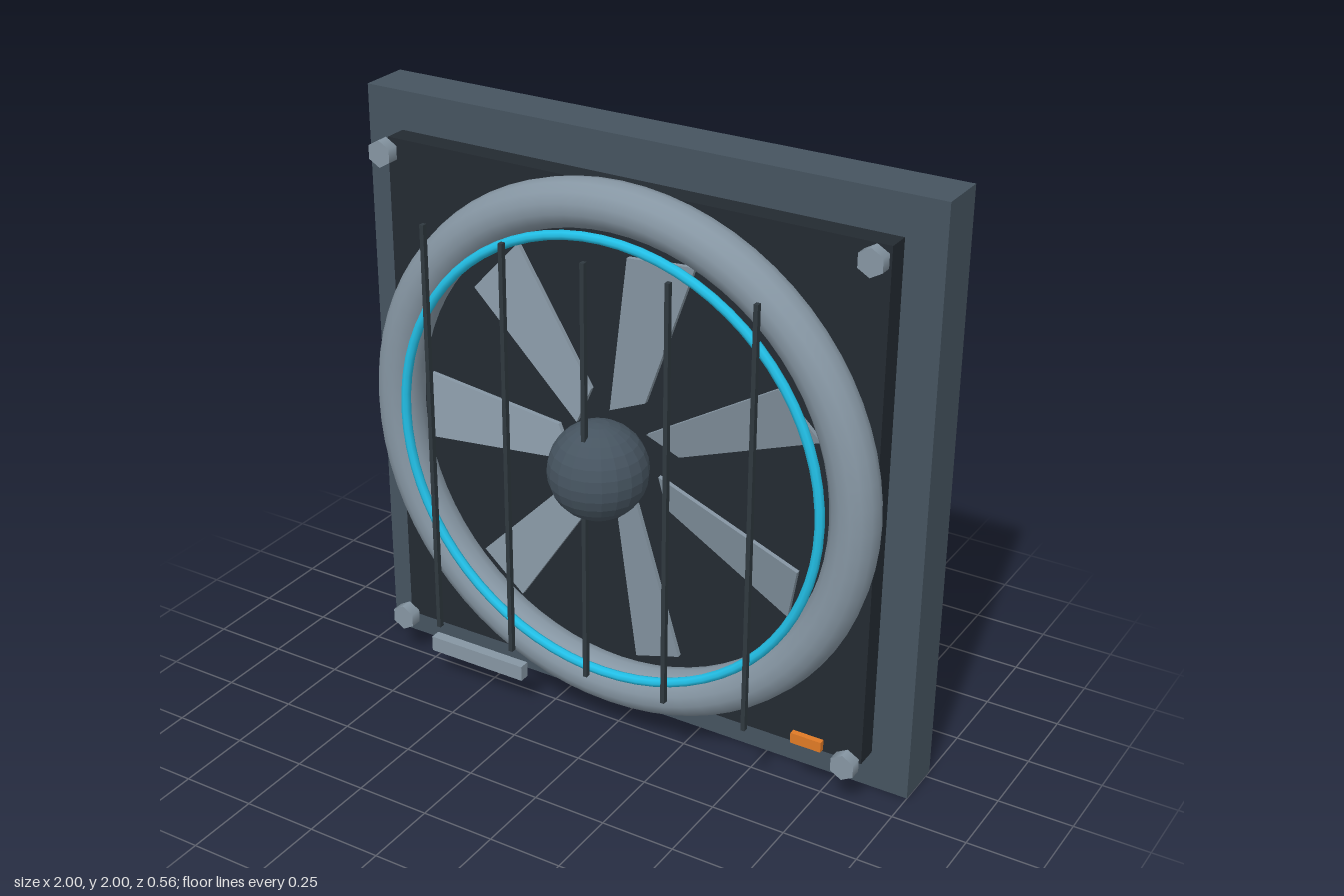
import * as THREE from 'three';

const mat = (color, flatShading = false) => new THREE.MeshStandardMaterial({ color, flatShading });

export function createModel() {
  const model = new THREE.Group();
  const frameMat = mat(0x465460), plateMat = mat(0x232a31), steel = mat(0x8696a3);
  const hubMat = mat(0x465460, true), barMat = mat(0x2f383f), cyan = mat(0x22bfe6), orange = mat(0xe07a26);

  const add = (name, geometry, material, x, y, z, parent = model) => {
    const mesh = new THREE.Mesh(geometry, material);
    mesh.name = name;
    mesh.position.set(x, y, z);
    parent.add(mesh);
    return mesh;
  };

  // Wall panel and the dark plate in front of it
  add('backPanel', new THREE.BoxGeometry(2, 2, 0.17), frameMat, 0, 1, -0.195);
  add('innerPlate', new THREE.BoxGeometry(1.74, 1.74, 0.08), plateMat, 0, 1, -0.073);

  // Housing ring and thin lit ring
  add('housingRing', new THREE.TorusGeometry(0.827, 0.078, 14, 72), steel, 0, 1, 0.015);
  add('lightRing', new THREE.TorusGeometry(0.75, 0.016, 8, 72), cyan, 0, 1, 0.097);

  // Fan: hub and seven pitched blades
  const fan = new THREE.Group();
  fan.name = 'fan';
  fan.position.set(0, 1, 0);
  model.add(fan);
  add('hub', new THREE.SphereGeometry(0.16, 20, 14), hubMat, 0, 0, 0.12, fan);

  const outline = new THREE.Shape([[0.22, -0.05], [0.72, -0.1], [0.68, 0.1], [0.155, 0.05]]
    .map(([r, t]) => new THREE.Vector2(r, t)));
  const bladeGeo = new THREE.ExtrudeGeometry(outline, { depth: 0.016, bevelEnabled: false });
  // Pitch: depth grows across the blade's width
  const p = bladeGeo.attributes.position;
  for (let i = 0; i < p.count; i++) p.setZ(i, p.getZ(i) + 0.25 * p.getY(i));
  bladeGeo.computeVertexNormals();
  for (let i = 0; i < 7; i++) {
    add('blade', bladeGeo, steel, 0, 0, 0.002, fan).rotation.z = Math.PI + (i * 2 * Math.PI) / 7;
  }

  // Guard bars
  for (let i = -2; i <= 2; i++) {
    add('guardBar', new THREE.BoxGeometry(0.014, 1.425, 0.018), barMat, i * 0.287, 1.002, 0.198);
  }

  // Hexagonal corner bolts
  const boltGeo = new THREE.CylinderGeometry(0.045, 0.045, 0.04, 6).rotateX(Math.PI / 2);
  for (const x of [-0.843, 0.843]) {
    for (const y of [0.157, 1.843]) add('bolt', boltGeo, steel, x, y, 0.032);
  }

  // Name plate and indicator lamp
  add('namePlate', new THREE.BoxGeometry(0.365, 0.054, 0.036), steel, -0.497, 0.137, 0.09);
  add('indicator', new THREE.BoxGeometry(0.105, 0.036, 0.02), orange, 0.733, 0.234, 0.08);

  return model;
}
